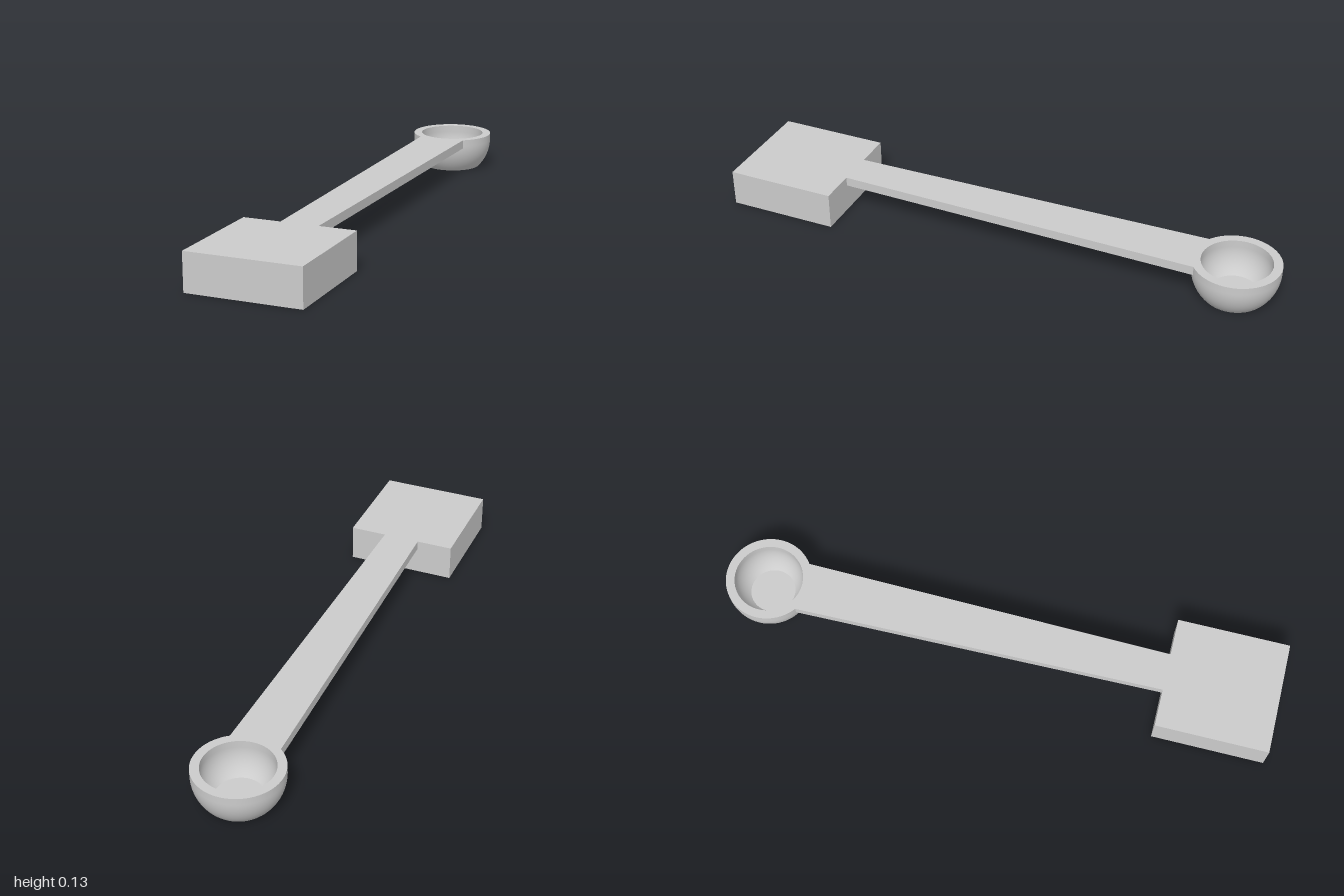
import * as THREE from 'three';

const material = new THREE.MeshStandardMaterial({ color: 0xcccccc });
const TOP = 0.133;

function addPart(group, name, geometry) {
  const mesh = new THREE.Mesh(geometry, material);
  mesh.name = name;
  group.add(mesh);
  return mesh;
}

// Points on a circle around the lathe axis, from one height to another
function arc(radius, centreY, fromY, toY, steps = 14) {
  const a = Math.asin((fromY - centreY) / radius);
  const b = Math.asin((toY - centreY) / radius);
  return Array.from({ length: steps + 1 }, (_, i) => {
    const t = a + (b - a) * i / steps;
    return new THREE.Vector2(radius * Math.cos(t), centreY + radius * Math.sin(t));
  });
}

export function createModel() {
  const group = new THREE.Group();
  group.name = 'measuringSpoon';

  // Solid block at the front end
  addPart(group, 'endBlock', new THREE.BoxGeometry(0.4, TOP, 0.4)).position.set(0, TOP / 2, 0.8);

  // Flat handle, widening towards the bowl
  const outline = new THREE.Shape([
    new THREE.Vector2(-0.067, -0.605),
    new THREE.Vector2(0.067, -0.605),
    new THREE.Vector2(0.089, 0.724),
    new THREE.Vector2(-0.089, 0.724),
  ]);
  const handle = new THREE.ExtrudeGeometry(outline, { depth: 0.033, bevelEnabled: false });
  handle.rotateX(-Math.PI / 2);
  addPart(group, 'handle', handle).position.y = TOP - 0.033;

  // Round bowl with a flat base; separate lathes keep its edges sharp
  const bowl = new THREE.Group();
  bowl.name = 'bowl';
  bowl.position.z = -0.847;
  const centreY = 0.108;
  const outer = [...arc(0.153, centreY, 0, centreY), new THREE.Vector2(0.153, TOP)];
  const inner = [new THREE.Vector2(0.122, TOP), ...arc(0.122, centreY, centreY, 0.016)];
  const profiles = {
    bowlBase: [new THREE.Vector2(0, 0), outer[0]],
    bowlOuterWall: outer,
    bowlRim: [outer.at(-1), inner[0]],
    bowlInnerWall: inner,
    bowlFloor: [inner.at(-1), new THREE.Vector2(0, 0.016)],
  };
  for (const [name, points] of Object.entries(profiles)) {
    addPart(bowl, name, new THREE.LatheGeometry(points, 64));
  }
  group.add(bowl);

  return group;
}
